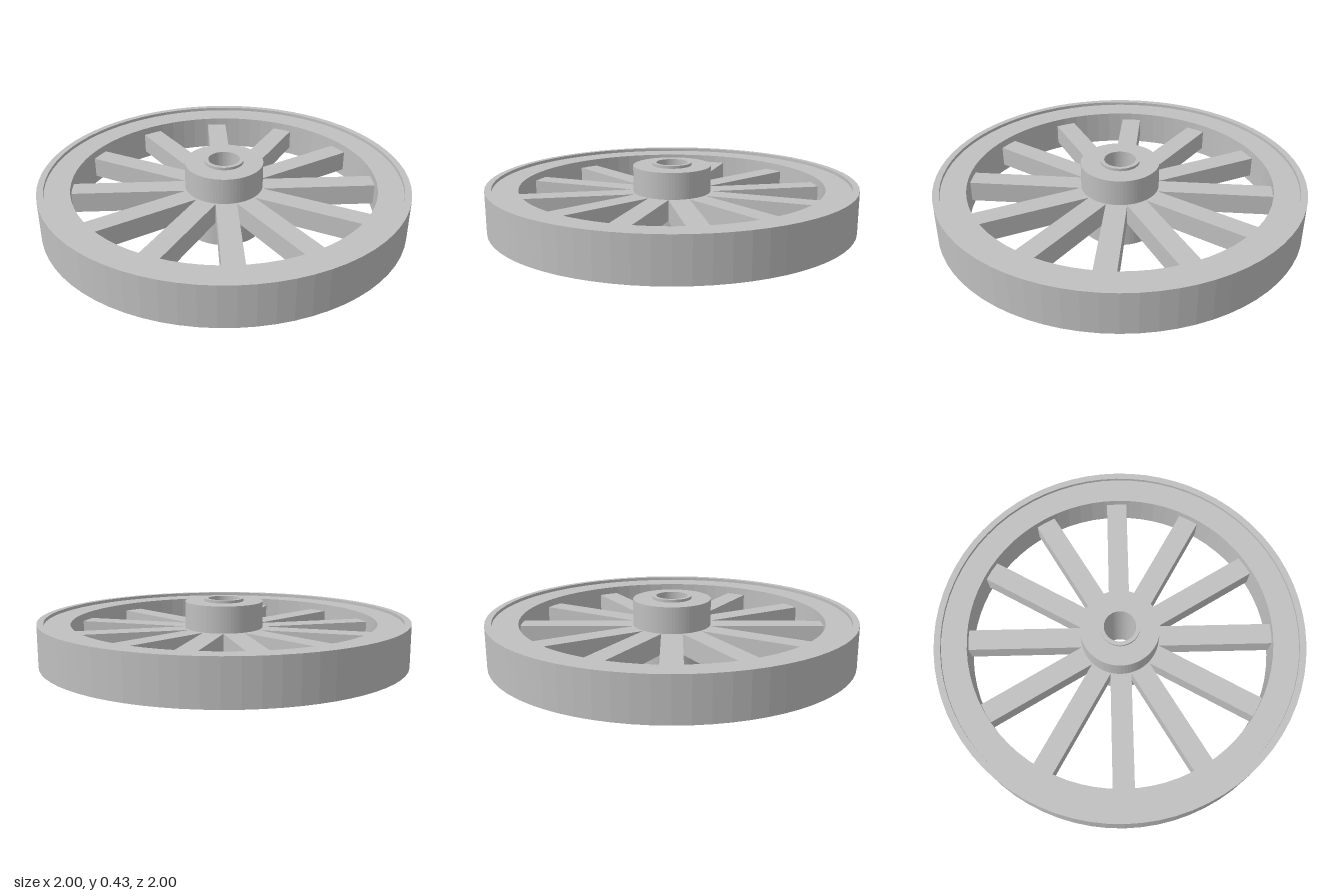
import * as THREE from 'three';

const SEGMENTS = 72;
const MID_Y = 0.215;

// Square-section ring around the vertical axis, with faceted sides
function ring(name, inner, outer, height, material) {
  const lo = MID_Y - height / 2;
  const hi = MID_Y + height / 2;
  const profile = [[inner, lo], [outer, lo], [outer, hi], [inner, hi], [inner, lo]]
    .map(([r, y]) => new THREE.Vector2(r, y));
  const geometry = new THREE.LatheGeometry(profile, SEGMENTS).toNonIndexed();
  geometry.computeVertexNormals();
  const mesh = new THREE.Mesh(geometry, material);
  mesh.name = name;
  return mesh;
}

export function createModel() {
  const grey = new THREE.MeshStandardMaterial({ color: 0xc0c0c0 });
  grey.name = 'plain grey';

  const wheel = new THREE.Group();
  wheel.name = 'spokedWheel';

  // Outer tyre stands slightly proud of the rim; bushing slightly proud of the hub
  wheel.add(
    ring('tyre', 0.965, 1, 0.23, grey),
    ring('rim', 0.827, 0.967, 0.195, grey),
    ring('hub', 0.1, 0.212, 0.4, grey),
    ring('bushing', 0.085, 0.106, 0.43, grey),
  );

  // Twelve square spokes, ends sunk into hub and rim
  const spokes = new THREE.Group();
  spokes.name = 'spokes';
  const start = 0.195;
  const end = 0.84;
  const bar = new THREE.BoxGeometry(end - start, 0.113, 0.113);
  bar.translate((start + end) / 2, MID_Y, 0);
  for (let i = 0; i < 12; i++) {
    const spoke = new THREE.Mesh(bar, grey);
    spoke.name = 'spoke';
    spoke.rotation.y = (i * Math.PI) / 6;
    spokes.add(spoke);
  }
  wheel.add(spokes);

  return wheel;
}
